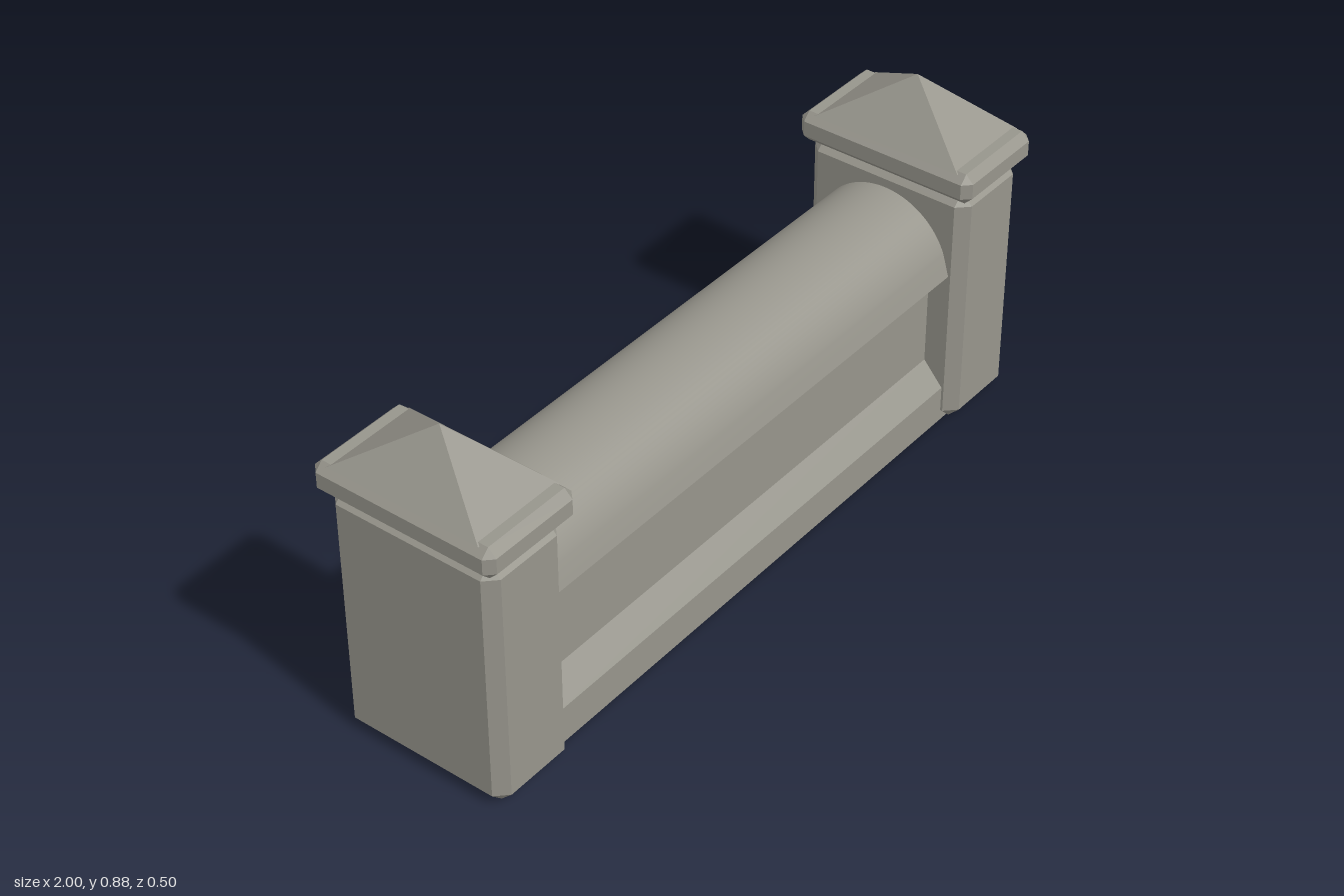
import * as THREE from 'three';
import { toCreasedNormals } from 'three/addons/utils/BufferGeometryUtils.js';
import { ConvexGeometry } from 'three/addons/geometries/ConvexGeometry.js';

const stone = new THREE.MeshStandardMaterial({ color: 0x97958c });
stone.name = 'stone';

function part(name, geometry, x = 0, y = 0, z = 0) {
  const mesh = new THREE.Mesh(geometry, stone);
  mesh.name = name;
  mesh.position.set(x, y, z);
  return mesh;
}

// Box with every edge bevelled by c; its base sits on y = 0
function chamferedBox(w, h, d, c) {
  const points = [];
  for (const sx of [-1, 1]) for (const sy of [-1, 1]) for (const sz of [-1, 1]) {
    const half = [w / 2, h / 2, d / 2];
    const sign = [sx, sy, sz];
    for (let full = 0; full < 3; full++) {
      const p = half.map((v, i) => sign[i] * (i === full ? v : v - c));
      points.push(new THREE.Vector3(p[0], p[1] + h / 2, p[2]));
    }
  }
  return new ConvexGeometry(points);
}

// Four-sided roof with a rectangular base
function pyramid(w, h, d) {
  const points = [new THREE.Vector3(0, h, 0)];
  for (const sx of [-1, 1]) for (const sz of [-1, 1]) {
    points.push(new THREE.Vector3(sx * w / 2, 0, sz * d / 2));
  }
  return new ConvexGeometry(points);
}

// Wall cross-section: plinth, recessed panel and rounded coping
function wallGeometry(length) {
  const side = [[0.195, 0], [0.195, 0.1], [0.14, 0.163], [0.14, 0.4], [0.195, 0.438], [0.178, 0.497]];
  const rise = 0.122;
  const edge = side[5][0];
  const radius = (edge * edge + rise * rise) / (2 * rise);
  const centreY = side[5][1] + rise - radius;
  const start = Math.atan2(side[5][1] - centreY, edge);

  const shape = new THREE.Shape();
  shape.moveTo(...side[0]);
  side.slice(1).forEach(([z, y]) => shape.lineTo(z, y));
  shape.absarc(0, centreY, radius, start, Math.PI - start, false);
  [...side].reverse().slice(1).forEach(([z, y]) => shape.lineTo(-z, y));
  shape.closePath();

  const geometry = new THREE.ExtrudeGeometry(shape, { depth: length, bevelEnabled: false, curveSegments: 20 });
  geometry.translate(0, 0, -length / 2);
  geometry.rotateY(Math.PI / 2);
  return toCreasedNormals(geometry, 0.25);
}

export function createModel() {
  const model = new THREE.Group();
  model.name = 'stoneWall';
  model.add(part('wall', wallGeometry(1.56)));

  // Matching end pillars
  for (const side of [-1, 1]) {
    const pillar = new THREE.Group();
    pillar.name = side > 0 ? 'leftPillar' : 'rightPillar';
    pillar.position.x = side * 0.859;
    pillar.add(
      part('pillarShaft', chamferedBox(0.238, 0.672, 0.462, 0.03)),
      part('pillarCap', chamferedBox(0.282, 0.082, 0.5, 0.021), 0, 0.667),
      part('pillarRoof', pyramid(0.258, 0.137, 0.42), 0, 0.744),
    );
    model.add(pillar);
  }
  return model;
}
